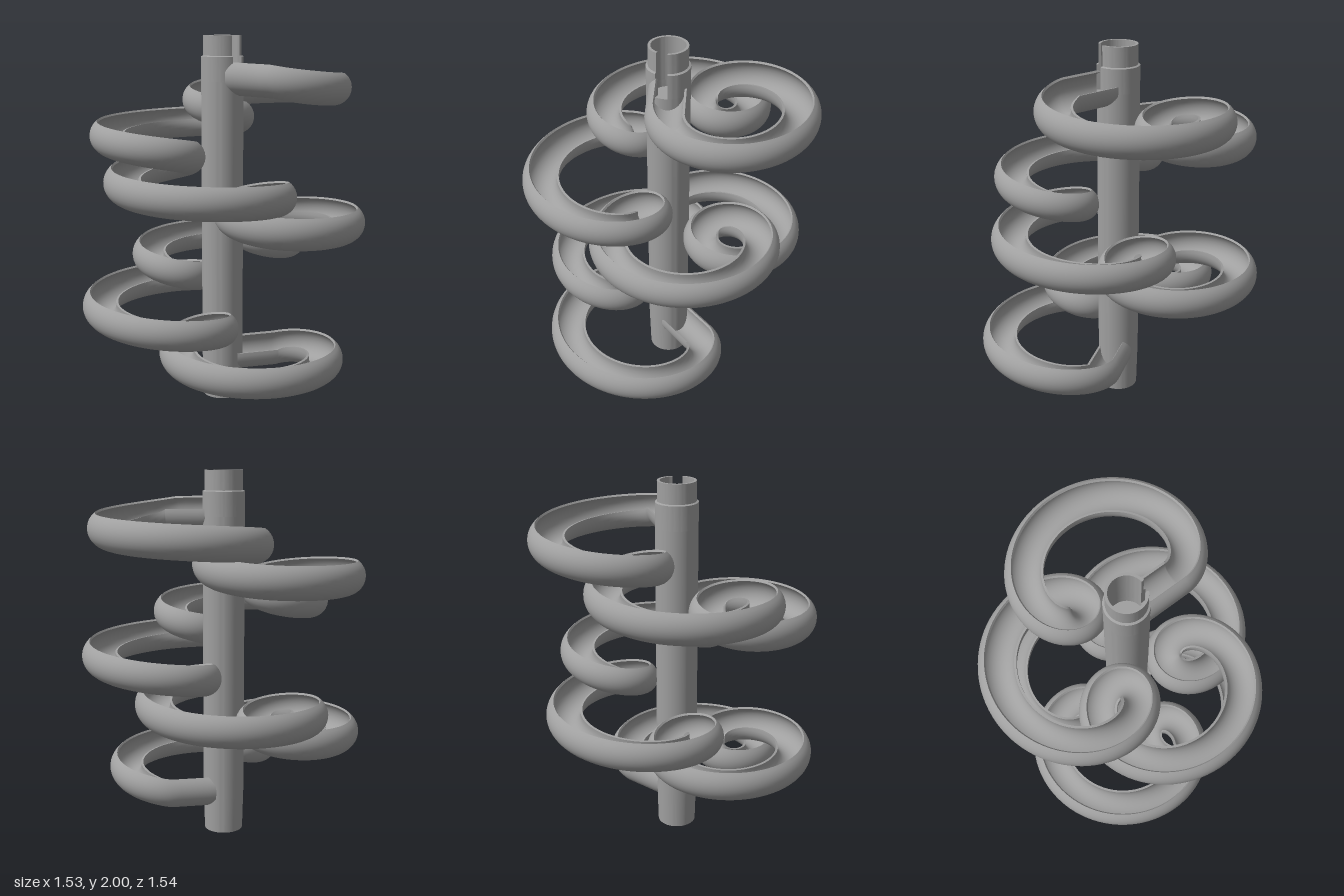
import * as THREE from 'three';
import { toCreasedNormals } from 'three/addons/utils/BufferGeometryUtils.js';

const AXIS_X = -0.015;          // centre of the column
const LOOPS = 7;                // loops of the track, spread over two turns
const RAD = Math.PI / 180;

// Centreline: a trochoid with small inner curls, dropping faster in the curls
function loopPoint(s) {
  const a = s * (720 / LOOPS) * RAD, b = a + s * 2 * Math.PI;
  return new THREE.Vector3(
    AXIS_X + 0.44 * Math.cos(a) - 0.24 * Math.cos(b),
    1.815 - 0.23 * (s + 0.0875 * Math.sin(2 * Math.PI * s)),
    -(0.44 * Math.sin(a) - 0.24 * Math.sin(b)));
}

// Whole path, with short straight leads in and out of the column
function trackPath() {
  const s0 = 0.115, s1 = LOOPS - s0, n = 630, pts = [];
  const first = loopPoint(s0), last = loopPoint(s1);
  const inlet = new THREE.Vector3(AXIS_X, first.y + 0.01, 0);
  const outlet = new THREE.Vector3(AXIS_X, last.y - 0.01, 0);
  for (let i = 0; i < 6; i++) pts.push(inlet.clone().lerp(first, 0.22 + 0.78 * i / 6));
  for (let i = 0; i <= n; i++) pts.push(loopPoint(s0 + (s1 - s0) * i / n));
  for (let i = 1; i <= 6; i++) pts.push(last.clone().lerp(outlet, 0.78 * i / 6));
  return pts;
}

// Open channel swept along the path; the outer wall reaches higher than the inner one
function channelGeometry(path) {
  const R = 0.097, r = 0.085, hi = 55 * RAD, lo = -190 * RAD;
  const arc = (rad, from, to, n) =>
    Array.from({ length: n + 1 }, (_, j) => [rad, from + (to - from) * j / n]);
  const strips = [
    arc(R, hi, lo, 24),             // outside skin
    [[R, lo], [r, lo]],             // inner rim
    arc(r, lo, hi, 20),             // running surface
    [[r, hi], [R, hi]],             // outer rim
  ];
  const pos = [], index = [];
  const frames = path.map((p, i) => {
    const t = path[Math.min(i + 1, path.length - 1)].clone().sub(path[Math.max(i - 1, 0)]);
    t.y = 0;
    t.normalize();
    return { p, sx: -t.z, sz: t.x };
  });
  for (const strip of strips) {
    const base = pos.length / 3, w = strip.length;
    frames.forEach(({ p, sx, sz }, i) => {
      strip.forEach(([rad, phi], j) => {
        const c = rad * Math.cos(phi);
        pos.push(p.x + sx * c, p.y + rad * Math.sin(phi), p.z + sz * c);
        if (i && j) {
          const d = base + i * w + j, k = d - 1, b = d - w, a = b - 1;
          index.push(a, b, k, b, d, k);
        }
      });
    });
  }
  const g = new THREE.BufferGeometry();
  g.setAttribute('position', new THREE.Float32BufferAttribute(pos, 3));
  g.setIndex(index);
  g.computeVertexNormals();
  return g;
}

export function createModel() {
  const model = new THREE.Group();
  const grey = new THREE.MeshStandardMaterial({ color: 0xa0a0a0, side: THREE.DoubleSide });
  grey.name = 'plain grey';

  const add = (name, geometry, parent) => {
    const mesh = new THREE.Mesh(geometry, grey);
    mesh.name = name;
    parent.add(mesh);
    return mesh;
  };
  const lathe = (points, start = 0, length = Math.PI * 2) => toCreasedNormals(
    new THREE.LatheGeometry(points.map(([x, y]) => new THREE.Vector2(x, y)), 72, start, length), 0.5);

  // Spiral channel
  add('spiralTrack', channelGeometry(trackPath()), model);

  // Column with a hollow foot and a floor under the inlet
  const column = new THREE.Group();
  column.name = 'column';
  column.position.x = AXIS_X;
  model.add(column);
  add('columnTube', lathe([[0, 0.12], [0.096, 0.12], [0.096, 0], [0.106, 0], [0.113, 0.25],
    [0.113, 1.76], [0.088, 1.76], [0.088, 1.72], [0, 1.72]]), column);

  // Slotted collar at the top, open towards the inlet of the track
  const collar = [[0.088, 1.76], [0.113, 1.76], [0.113, 1.89], [0.102, 1.895], [0.102, 2], [0.088, 2]];
  const slotFrom = 38 * RAD, slotTo = 72 * RAD;
  add('slottedCollar', lathe([...collar, collar[0]], slotTo, Math.PI * 2 - (slotTo - slotFrom)), column);
  const section = new THREE.Shape(collar.map(([x, y]) => new THREE.Vector2(x, y)));
  for (const phi of [slotFrom, slotTo]) {
    add('slotEdge', new THREE.ShapeGeometry(section), column).rotation.y = phi - Math.PI / 2;
  }
  return model;
}
